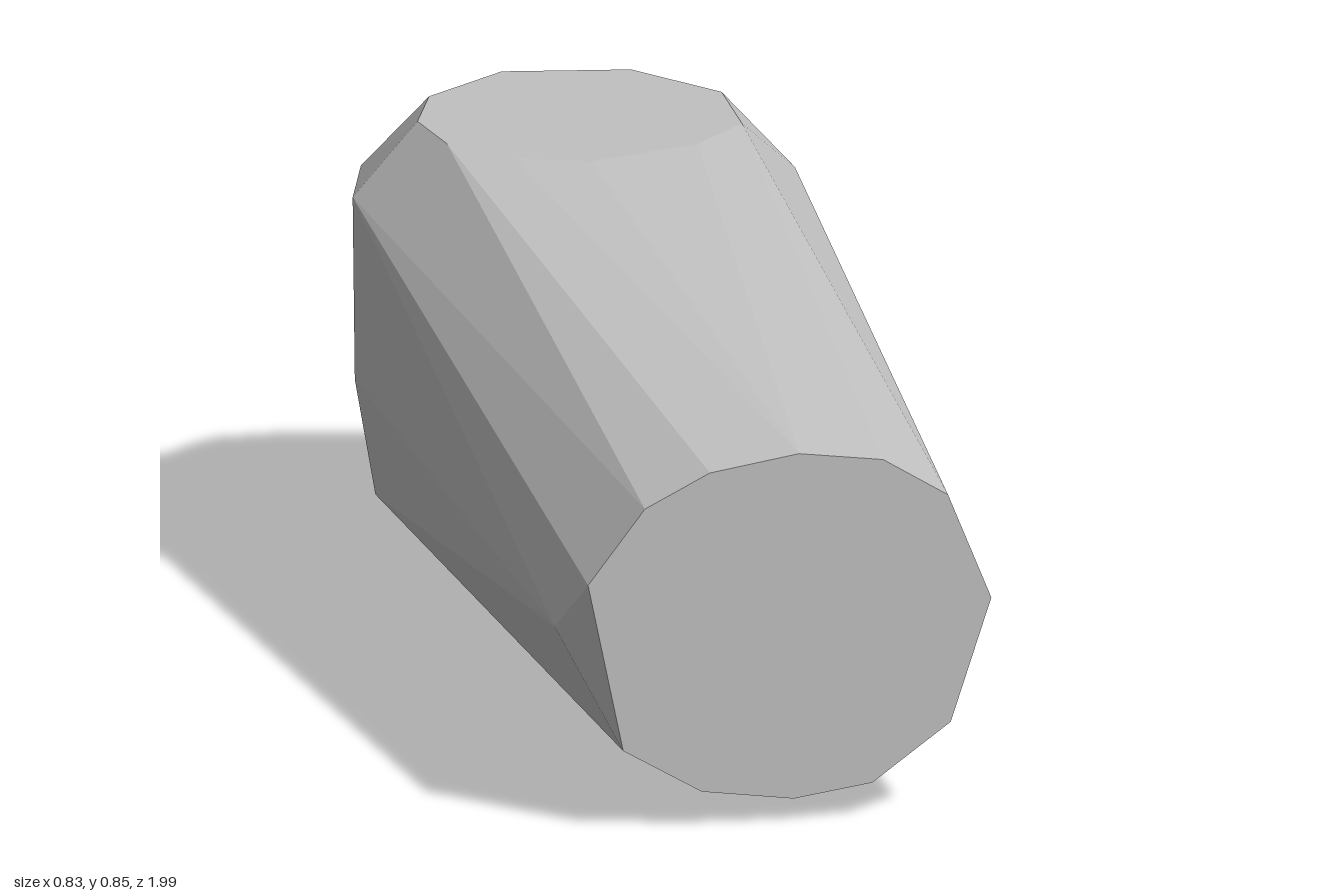
import * as THREE from 'three';
import { ConvexGeometry } from 'three/addons/geometries/ConvexGeometry.js';

export function createModel() {
  const group = new THREE.Group();
  const stone = new THREE.MeshStandardMaterial({ color: 0xc0c0c0 });
  const points = [];
  const add = (x, y, z) => points.push(new THREE.Vector3(x, y, z));

  // Flat front end, x and y at z = 1
  [[0.405, 0.4], [0.325, 0.6], [0.205, 0.675], [0.05, 0.697], [-0.115, 0.672], [-0.235, 0.612],
    [-0.34, 0.475], [-0.275, 0.157], [-0.13, 0.07], [0.04, 0.045], [0.185, 0.065], [0.33, 0.17]]
    .forEach(([x, y]) => add(x, y, 1));
  add(-0.37, 0.355, 0.86); // chipped corner beside the front

  // Flat patch on top, x and z at y = 0.847
  [[-0.08, -0.865], [0.15, -0.825], [0.28, -0.66], [0.275, -0.47], [0.17, -0.37], [-0.04, -0.31],
    [-0.17, -0.36], [-0.27, -0.47], [-0.293, -0.61], [-0.24, -0.75]]
    .forEach(([x, z]) => add(x, 0.847, z));

  // Rounded back: half rings of [height, left radius, right radius, depth, segments]
  const rings = [
    [0.715, 0.402, 0.415, 0.36, 6],
    [0.58, 0.404, 0.413, 0.4, 7],
    [0.37, 0.412, 0.411, 0.4, 7],
    [0.15, 0.352, 0.373, 0.34, 6],
    [0.075, 0.28, 0.285, 0.27, 5],
    [0.02, 0.19, 0.2, 0.16, 4],
    [0, 0.05, 0.08, 0.03, 2],
  ];
  for (const [y, left, right, depth, n] of rings) {
    for (let i = 0; i <= n; i++) {
      const a = (i / n) * Math.PI;
      const c = Math.cos(a);
      add(c * (c > 0 ? left : right), y, -0.6 - depth * Math.sin(a));
    }
  }

  const body = new THREE.Mesh(new ConvexGeometry(points), stone);
  body.name = 'facetedBody';
  group.add(body);
  return group;
}
